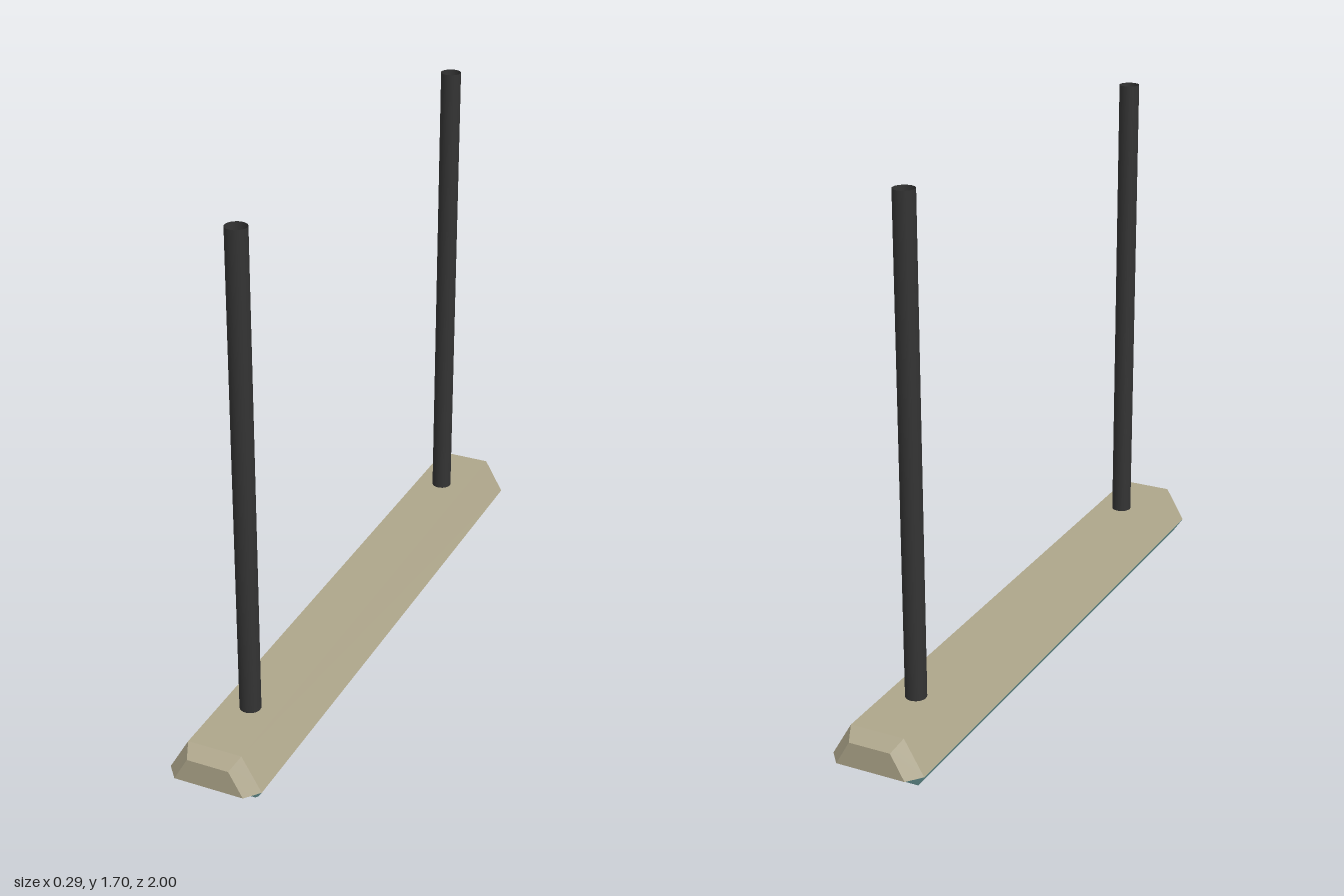
import * as THREE from 'three';
import { toCreasedNormals } from 'three/addons/utils/BufferGeometryUtils.js';

// Joins equal-length rings of [x, y, z] corners into a skin, with fan caps where asked
function loft(rings, capFirst, capLast, crease) {
  const n = rings[0].length;
  const index = [];
  for (let r = 0; r < rings.length - 1; r++) {
    for (let i = 0; i < n; i++) {
      const a = r * n + i, b = r * n + (i + 1) % n;
      index.push(a, b, b + n, a, b + n, a + n);
    }
  }
  const last = (rings.length - 1) * n;
  for (let i = 1; i < n - 1; i++) {
    if (capFirst) index.push(0, i + 1, i);
    if (capLast) index.push(last, last + i, last + i + 1);
  }
  const geometry = new THREE.BufferGeometry();
  geometry.setAttribute('position', new THREE.Float32BufferAttribute(rings.flat(2), 3));
  geometry.setIndex(index);
  return toCreasedNormals(geometry, crease);
}

export function createModel() {
  const group = new THREE.Group();
  const add = (name, geometry, color, side = THREE.FrontSide) => {
    const mesh = new THREE.Mesh(geometry, new THREE.MeshStandardMaterial({ color, side }));
    mesh.name = name;
    group.add(mesh);
    return mesh;
  };

  const rimY = 0.09, topY = 0.197, halfWidth = 0.147, halfLength = 0.955;

  // Housing: trapezoid bar with bevelled ends
  const section = (z, bottom, top, y) => [
    [bottom, rimY, z], [top, y, z], [-top, y, z], [-bottom, rimY, z],
  ];
  add('housing', loft([
    section(-1, 0.11, 0.066, 0.168),
    section(-halfLength, halfWidth, 0.085, topY),
    section(halfLength, halfWidth, 0.085, topY),
    section(1, 0.11, 0.066, 0.168),
  ], true, true, 0.1), 0xada58a);

  // Diffuser: shallow tray, mitred at the rim and rounded underneath; [inset, height]
  const profile = [[0.12, 0], [0.09, 0.003], [0.066, 0.01], [0.046, 0.025], [0.025, 0.051], [0, rimY]];
  const trayRing = ([inset, y]) => {
    const w = halfWidth - inset, d = halfLength - inset, e = d - 0.06;
    return [[w, y, d], [w, y, e], [w, y, -e], [w, y, -d], [-w, y, -d], [-w, y, -e], [-w, y, e], [-w, y, d]];
  };
  add('diffuser', loft(profile.map(trayRing), true, false, 0.7), 0x7fb5b5, THREE.DoubleSide);

  // Two open hanging tubes
  const tubeTop = 1.697;
  for (const [name, s] of [['frontTube', 1], ['backTube', -1]]) {
    const tube = new THREE.CylinderGeometry(0.032, 0.032, tubeTop - topY, 24, 1, true);
    add(name, tube, 0x333333, THREE.DoubleSide).position.set(0, (tubeTop + topY) / 2, s * 0.735);
  }

  return group;
}
